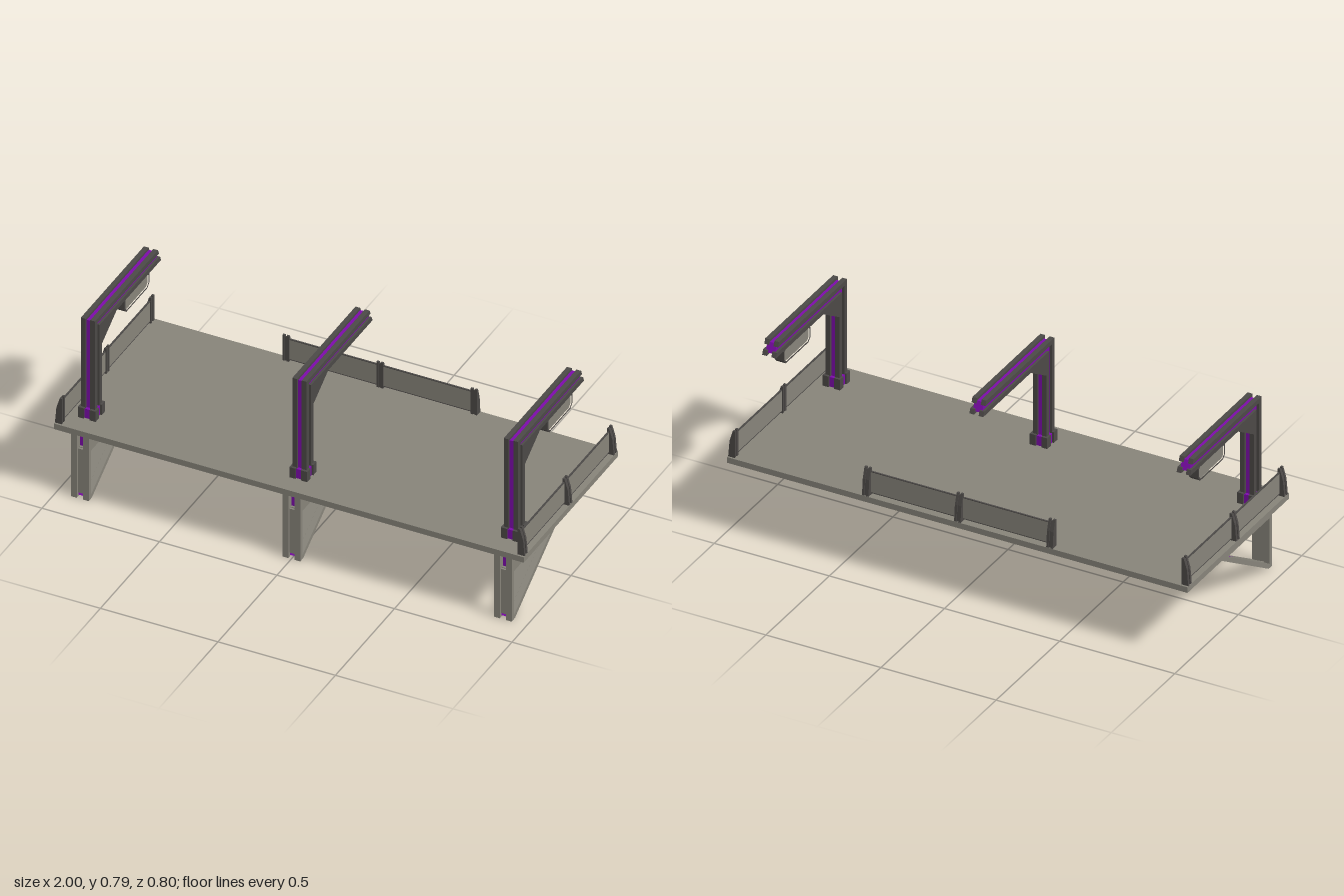
import * as THREE from 'three';

const mat = (name, color) => {
  const m = new THREE.MeshStandardMaterial({ color });
  m.name = name;
  return m;
};

export function createModel() {
  const grey = mat('warm grey metal', 0x87847a);
  const dark = mat('dark grey metal', 0x4c4947);
  const purple = mat('purple inlay', 0x7d0bab);
  const root = new THREE.Group();
  root.name = 'platform';

  const add = (parent, name, geo, material) => {
    const m = new THREE.Mesh(geo, material);
    m.name = name;
    parent.add(m);
    return m;
  };
  const box = (parent, name, material, [x0, x1], [y0, y1], [z0, z1]) => {
    const g = new THREE.BoxGeometry(x1 - x0, y1 - y0, z1 - z0);
    g.translate((x0 + x1) / 2, (y0 + y1) / 2, (z0 + z1) / 2);
    return add(parent, name, g, material);
  };
  // Side profile given as [z, y] points, extruded from x0 to x1
  const toPoints = (pts) => pts.map(([z, y]) => new THREE.Vector2(-z, y));
  const plate = (parent, name, material, pts, x0, x1, hole) => {
    const s = new THREE.Shape(toPoints(pts));
    if (hole) s.holes.push(new THREE.Path(toPoints(hole)));
    const g = new THREE.ExtrudeGeometry(s, { depth: x1 - x0, bevelEnabled: false });
    g.rotateY(Math.PI / 2);
    g.translate(x0, 0, 0);
    return add(parent, name, g, material);
  };
  const group = (name, x = 0) => {
    const g = new THREE.Group();
    g.name = name;
    g.position.x = x;
    root.add(g);
    return g;
  };

  box(root, 'deck', grey, [-1, 1], [0.305, 0.33], [-0.4, 0.4]);

  // Overhead arm: four dark corner rails around a purple core
  const outerRail = [[0.31, 0.33], [0.31, 0.785], [-0.225, 0.785], [-0.233, 0.765], [0.29, 0.765], [0.29, 0.33]];
  const innerRail = [[0.27, 0.33], [0.27, 0.745], [-0.242, 0.745], [-0.25, 0.725], [0.125, 0.725], [0.25, 0.647], [0.25, 0.33]];
  const core = [[0.3, 0.33], [0.3, 0.775], [-0.225, 0.775], [-0.24, 0.735], [0.122, 0.735], [0.26, 0.65], [0.26, 0.33]];
  const arm = (x) => {
    const g = group('arm', x);
    for (const x0 of [-0.03, 0.01]) {
      plate(g, 'outerRail', dark, outerRail, x0, x0 + 0.02);
      plate(g, 'innerRail', dark, innerRail, x0, x0 + 0.02);
    }
    plate(g, 'inlayCore', purple, core, -0.02, 0.02);
    // Foot made of four corner blocks
    for (const x0 of [-0.038, 0.012])
      for (const z0 of [0.24, 0.292])
        box(g, 'footBlock', dark, [x0, x0 + 0.026], [0.33, 0.377], [z0, z0 + 0.028]);
    box(g, 'footCore', purple, [-0.031, 0.031], [0.33, 0.372], [0.247, 0.313]);
    return g;
  };

  // Chamfered hanging panel
  const octagon = (z0, z1, y0, y1, c) => [
    [z0 + c, y0], [z1 - c, y0], [z1, y0 + c], [z1, y1 - c],
    [z1 - c, y1], [z0 + c, y1], [z0, y1 - c], [z0, y0 + c],
  ];
  const hangingPanel = (parent) => {
    const inner = octagon(-0.163, 0.033, 0.658, 0.719, 0.013);
    plate(parent, 'panelFrame', dark, octagon(-0.17, 0.04, 0.651, 0.726, 0.016), -0.02, 0.02, inner);
    plate(parent, 'panelFace', grey, inner, -0.016, 0.016);
  };

  // Triangular bracket: two cheeks, a slimmer web, and a purple inlay below
  const bracketOutline = [[0.378, 0.305], [0.378, 0], [0.35, 0.002], [-0.04, 0.243], [-0.302, 0.243], [-0.333, 0.305]];
  const bracketHole = [[0.36, 0.222], [0.03, 0.222], [0.36, 0.018]];
  const inlay = [[0.36, 0.016], [0.366, 0.008], [0.35, 0.01], [-0.038, 0.25], [-0.298, 0.25],
    [-0.324, 0.305], [0.35, 0.305], [0.35, 0.224], [0.03, 0.224]];
  const bracket = (x) => {
    const g = group('bracket', x);
    for (const x0 of [-0.038, 0.013])
      plate(g, 'cheek', grey, bracketOutline, x0, x0 + 0.025, bracketHole);
    plate(g, 'inlay', purple, inlay, -0.013, 0.013);
    box(g, 'legWeb', grey, [-0.013, 0.013], [0.02, 0.223], [0.36, 0.369]);
    // Grey liners so the opening shows no purple
    plate(g, 'strutLiner', grey, [[0.36, 0.019], [0.36, 0.015], [0.03, 0.218], [0.03, 0.223]], -0.014, 0.014);
    box(g, 'beamLiner', grey, [-0.014, 0.014], [0.2215, 0.226], [0.03, 0.36]);
  };

  for (const x of [-0.9, 0, 0.9]) {
    const a = arm(x);
    if (x !== 0) hangingPanel(a);
    bracket(x);
  }

  // Railing: local z = 0 is the deck edge and +z faces outward
  const post = [[-0.001, 0.33], [-0.03, 0.33], [-0.03, 0.447], [-0.021, 0.447], [-0.007, 0.4]];
  const postMiddle = [[-0.005, 0.33], [-0.027, 0.33], [-0.027, 0.44], [-0.021, 0.44], [-0.01, 0.4]];
  const railing = (name, reach, edge, angle) => {
    const g = group(name);
    for (const c of [-reach, 0, reach]) {
      plate(g, 'post', dark, post, c - 0.014, c - 0.004);
      plate(g, 'postMiddle', dark, postMiddle, c - 0.004, c + 0.004);
      plate(g, 'post', dark, post, c + 0.004, c + 0.014);
    }
    box(g, 'infill', grey, [-reach, reach], [0.341, 0.43], [-0.026, -0.021]);
    for (const y of [0.338, 0.43])
      box(g, 'trim', dark, [-reach, reach], [y, y + 0.003], [-0.027, -0.02]);
    g.rotation.y = angle;
    g.position.set(Math.sin(angle) * edge, 0, Math.cos(angle) * edge);
  };
  railing('leftRailing', 0.378, 1, Math.PI / 2);
  railing('rightRailing', 0.378, 1, -Math.PI / 2);
  railing('backRailing', 0.4, 0.4, Math.PI);

  return root;
}
